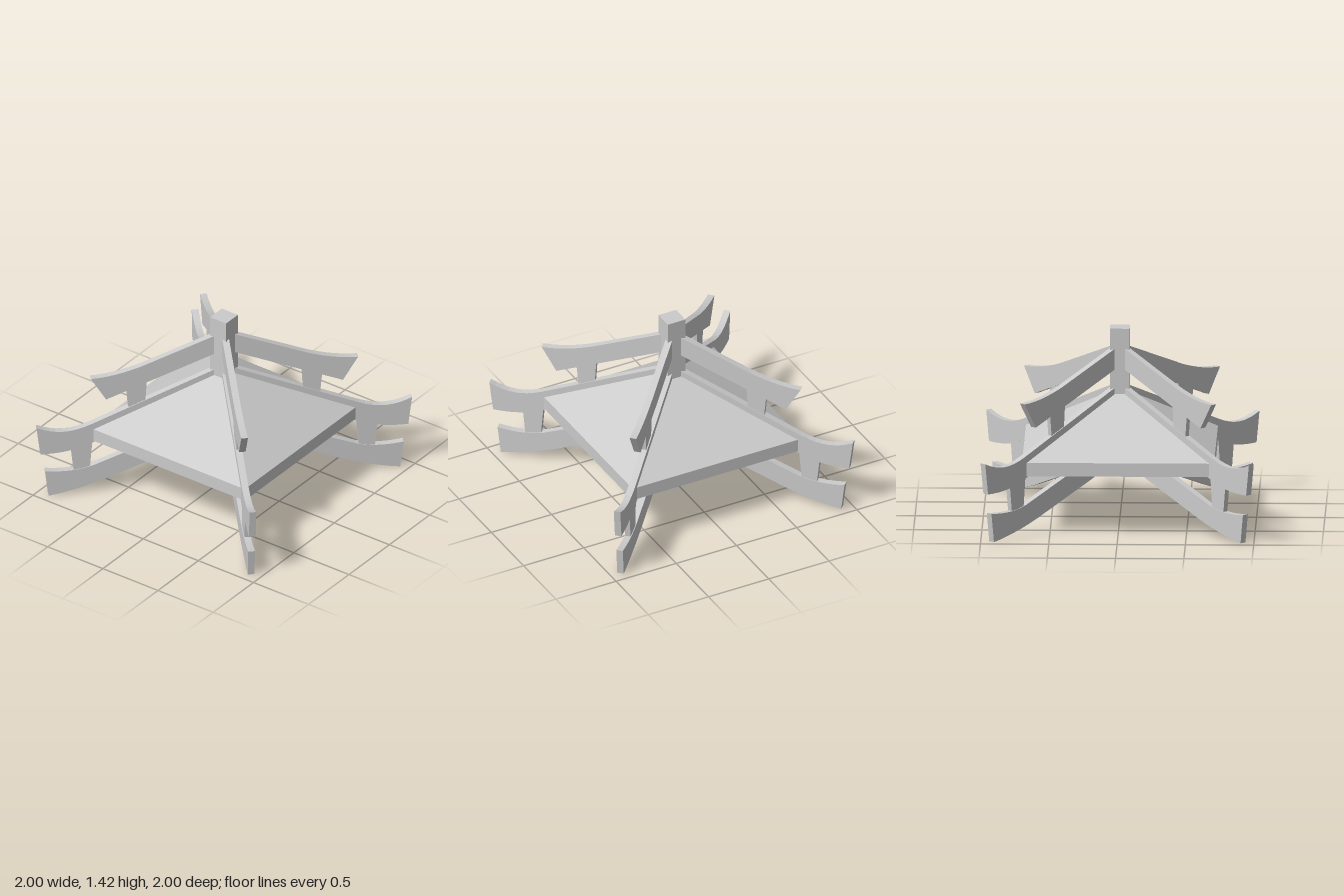
import * as THREE from 'three';

const material = new THREE.MeshStandardMaterial({ color: 0xcccccc, flatShading: true });

// Flat board cut from a side outline; outlines use x along a wall,
// stretched by sqrt(2) so that they lie along the diagonal.
function board(name, outline, thickness) {
  const geometry = new THREE.ExtrudeGeometry(outline, { depth: thickness, bevelEnabled: false, curveSegments: 8 });
  geometry.translate(0, 0, -thickness / 2);
  geometry.scale(Math.SQRT2, 1, 1);
  const mesh = new THREE.Mesh(geometry, material);
  mesh.name = name;
  return mesh;
}

function polygon(points) {
  return new THREE.Shape(points.map(([x, y]) => new THREE.Vector2(x, y)));
}

// Top ridge beam, flaring at its tip
function upperBeamOutline() {
  const s = new THREE.Shape();
  s.moveTo(0.03, 1.128);
  s.lineTo(0.62, 0.795);
  s.lineTo(0.70, 0.985);
  s.quadraticCurveTo(0.58, 0.985, 0.43, 1.06);
  s.lineTo(0.03, 1.283);
  return s;
}

// Hip beam on the roof corner, with an upturned tip
function hipBeamOutline() {
  const s = new THREE.Shape();
  s.moveTo(0.0, 0.852);
  s.lineTo(0.68, 0.438);
  s.quadraticCurveTo(0.80, 0.355, 0.962, 0.365);
  s.lineTo(0.9825, 0.595);
  s.bezierCurveTo(0.89, 0.535, 0.81, 0.525, 0.70, 0.59);
  s.lineTo(0.0, 1.01);
  return s;
}

// Bracket beam under the corner
function lowerBeamOutline() {
  const s = new THREE.Shape();
  s.moveTo(0.20, 0.34);
  s.lineTo(0.62, 0.11);
  s.quadraticCurveTo(0.78, 0.03, 0.92, 0.0);
  s.lineTo(0.938, 0.215);
  s.quadraticCurveTo(0.80, 0.185, 0.69, 0.232);
  s.lineTo(0.24, 0.477);
  return s;
}

export function createModel() {
  const model = new THREE.Group();
  model.name = 'pavilionRoof';

  // Square roof shell with a hollow underside
  const r = 0.703 * Math.SQRT2;
  const profile = [[0, 0.875], [r, 0.445], [r, 0.545], [0, 0.975]].map(([x, y]) => new THREE.Vector2(x, y));
  const roofGeometry = new THREE.LatheGeometry(profile, 4, Math.PI / 4).toNonIndexed();
  roofGeometry.computeVertexNormals();
  const roof = new THREE.Mesh(roofGeometry, material);
  roof.name = 'roof';
  model.add(roof);

  // Central post
  const post = new THREE.Mesh(new THREE.BoxGeometry(0.145, 0.5, 0.145), material);
  post.position.y = 1.17;
  post.name = 'centerPost';
  model.add(post);

  // Four identical corner frames on the diagonals
  for (let i = 0; i < 4; i++) {
    const corner = new THREE.Group();
    corner.name = 'cornerFrame' + (i + 1);
    corner.add(
      board('upperBeam', upperBeamOutline(), 0.05),
      board('hipBeam', hipBeamOutline(), 0.05),
      board('lowerBeam', lowerBeamOutline(), 0.05),
      board('upperStrut', polygon([[0.415, 0.72], [0.50, 0.68], [0.515, 0.90], [0.405, 0.94]]), 0.035),
      board('lowerStrut', polygon([[0.706, 0.19], [0.786, 0.17], [0.804, 0.42], [0.69, 0.46]]), 0.04)
    );
    corner.rotation.y = Math.PI / 4 + i * Math.PI / 2;
    model.add(corner);
  }
  return model;
}
